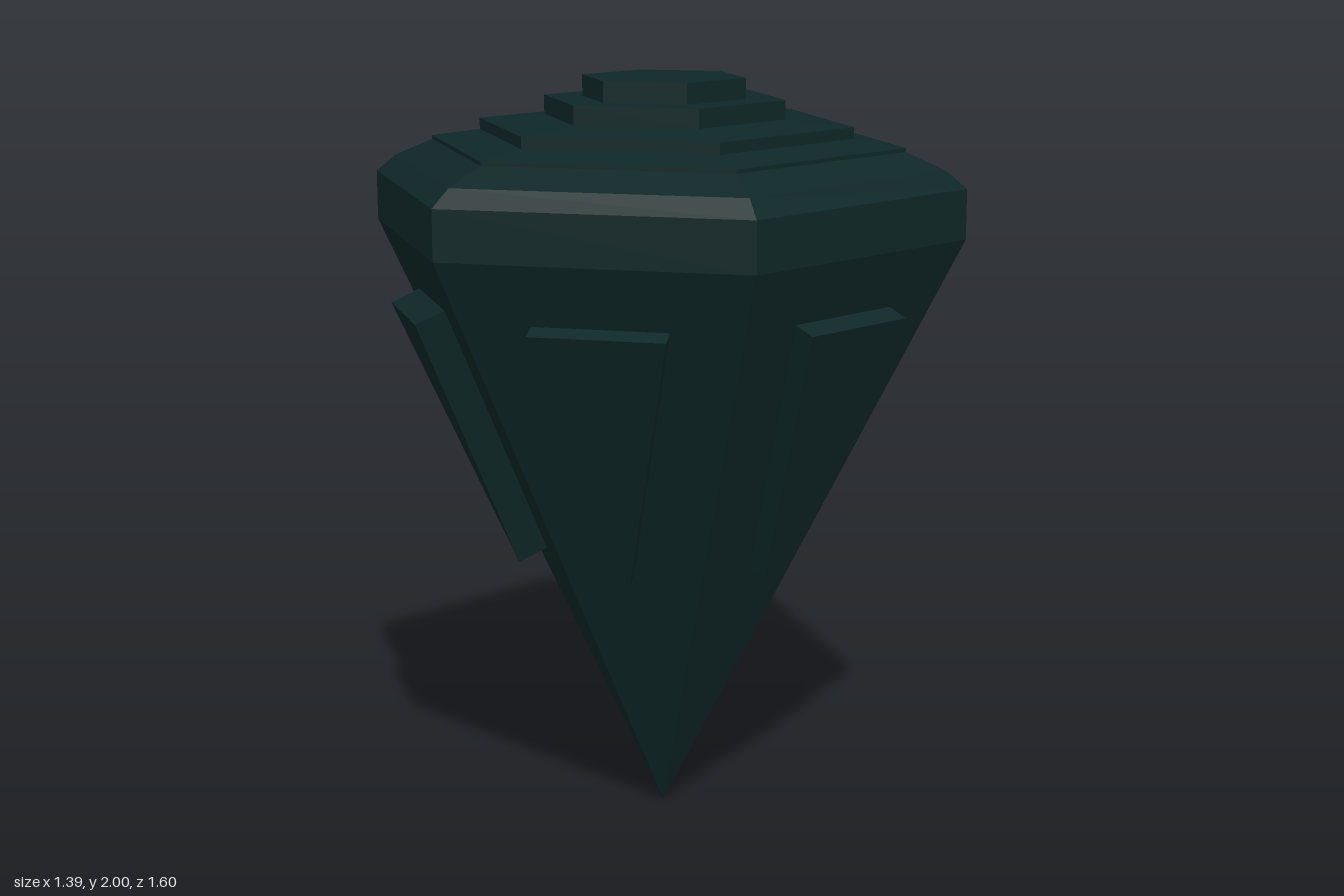
import * as THREE from 'three';

const RADIUS = 0.8, SHOULDER = 1.6;
// lean of each cone face away from vertical
const LEAN = Math.atan((RADIUS * Math.cos(Math.PI / 6)) / SHOULDER);

export function createModel() {
  const group = new THREE.Group();
  const darkTeal = new THREE.MeshStandardMaterial({ color: 0x0f2727 });
  darkTeal.name = 'darkTeal';

  // six-sided solid from [corner radius, height] pairs, with flat faces
  function hexSolid(name, points) {
    const profile = points.map(([r, y]) => new THREE.Vector2(r, y));
    const geometry = new THREE.LatheGeometry(profile, 6).toNonIndexed();
    geometry.computeVertexNormals();
    const mesh = new THREE.Mesh(geometry, darkTeal);
    mesh.name = name;
    group.add(mesh);
  }

  // pointed body with a bevelled shoulder
  hexSolid('body', [
    [0, 0], [RADIUS, SHOULDER], [RADIUS, 1.73], [0.745, 1.775], [0.64, 1.82],
  ]);

  // stepped crown
  hexSolid('crown', [
    [0.64, 1.82], [0.64, 1.83], [0.505, 1.85], [0.505, 1.88], [0.325, 1.895],
    [0.325, 1.945], [0.22, 1.945], [0.22, 2], [0, 2],
  ]);

  // raised triangle plates, one per cone face
  const plates = [
    { angle: 30, top: 1.44, tip: 0.73, half: 0.175, thick: 0.045 },
    { angle: 90, top: 1.445, tip: 0.735, half: 0.18, thick: 0.058 },
    { angle: 150, top: 1.44, tip: 0.73, half: 0.18, thick: 0.05 },
    { angle: 210, top: 1.485, tip: 0.45, half: 0.265, thick: 0.063 },
    { angle: 270, top: 1.43, tip: 0.8, half: 0.16, thick: 0.051 },
    { angle: 330, top: 1.44, tip: 0.75, half: 0.175, thick: 0.083 },
  ];
  const sunk = 0.02;
  for (const { angle, top, tip, half, thick } of plates) {
    const slantTop = top / Math.cos(LEAN), slantTip = tip / Math.cos(LEAN);
    const triangle = new THREE.Shape([
      new THREE.Vector2(0, slantTip),
      new THREE.Vector2(half, slantTop),
      new THREE.Vector2(-half, slantTop),
    ]);
    const geometry = new THREE.ExtrudeGeometry(triangle, { depth: thick + sunk, bevelEnabled: false });
    geometry.translate(0, 0, -sunk);
    geometry.rotateX(LEAN);
    geometry.rotateY(THREE.MathUtils.degToRad(angle));
    const plate = new THREE.Mesh(geometry, darkTeal);
    plate.name = 'trianglePlate';
    group.add(plate);
  }
  return group;
}
